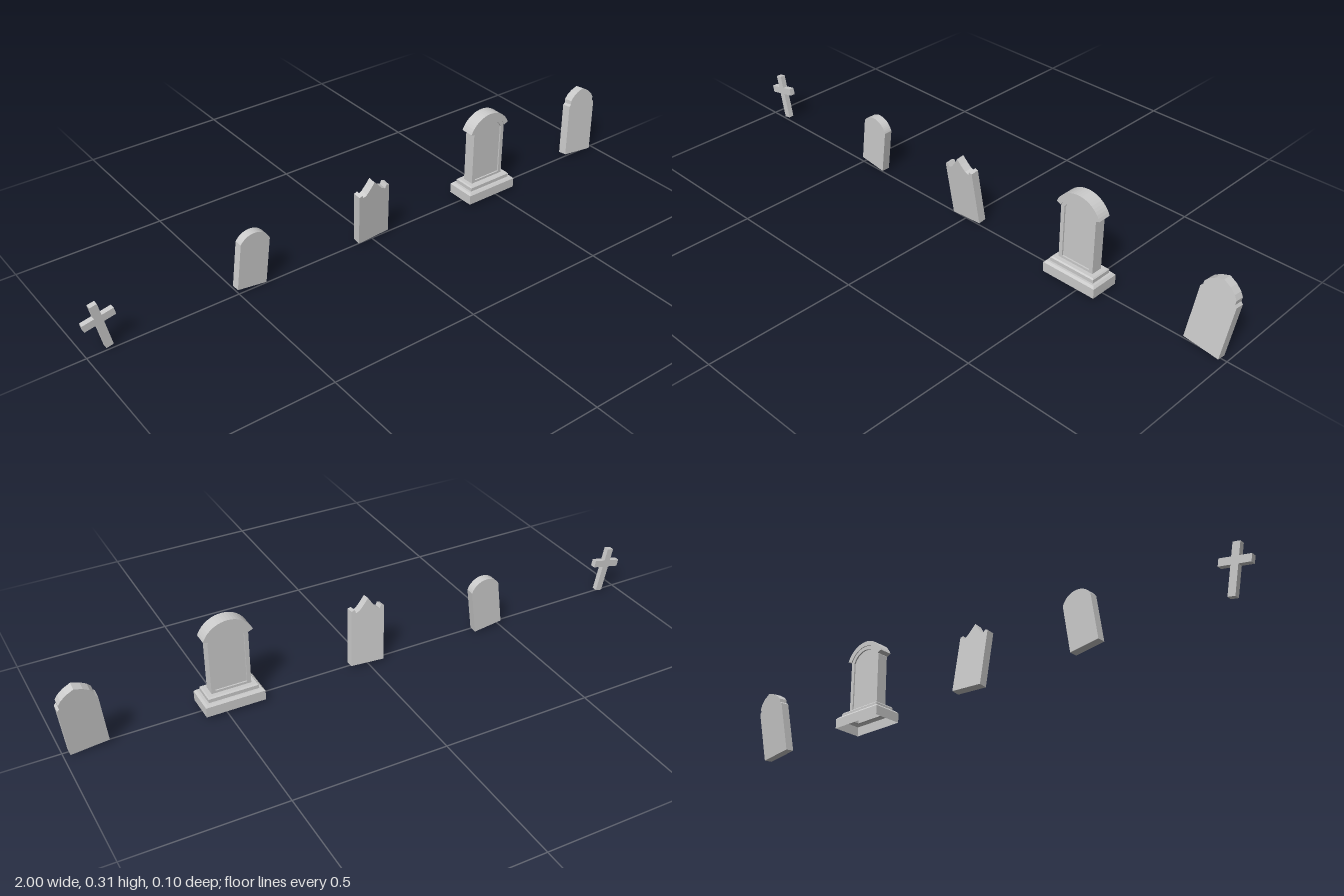
import * as THREE from 'three';

const material = new THREE.MeshStandardMaterial({ color: 0xcccccc, flatShading: true, side: THREE.DoubleSide });
const rad = THREE.MathUtils.degToRad;

function addMesh(parent, name, geometry) {
  const mesh = new THREE.Mesh(geometry, material);
  mesh.name = name;
  parent.add(mesh);
  return mesh;
}

// Outline extruded along z and centred on it
function slab(shape, depth) {
  const g = new THREE.ExtrudeGeometry(shape, { depth, bevelEnabled: false, curveSegments: 10 });
  return g.translate(0, 0, -depth / 2);
}

// Symmetric outline from its right half, listed from bottom to apex
function mirrored(half) {
  const left = half.filter(([x]) => x > 0).map(([x, y]) => [-x, y]).reverse();
  return new THREE.Shape([...half, ...left].map(([x, y]) => new THREE.Vector2(x, y)));
}

// Outline with straight sides and a segmental arch on top
function arched(halfWidth, bottom, shoulder, top) {
  const rise = top - shoulder;
  const r = (halfWidth ** 2 + rise ** 2) / (2 * rise);
  const a = Math.asin((shoulder - top + r) / r);
  const s = new THREE.Shape();
  s.moveTo(-halfWidth, bottom);
  s.lineTo(halfWidth, bottom);
  s.lineTo(halfWidth, shoulder);
  s.absarc(0, top - r, r, a, Math.PI - a, false);
  s.closePath();
  return s;
}

// Stacked rectangles [halfX, halfZ, y] joined into an open shell
function steppedShell(rings) {
  const pos = [], index = [];
  for (const [x, z, y] of rings) pos.push(-x, y, z, x, y, z, x, y, -z, -x, y, -z);
  for (let i = 0; i < rings.length - 1; i++) {
    for (let k = 0; k < 4; k++) {
      const a = i * 4 + k, b = i * 4 + (k + 1) % 4;
      index.push(a, b, b + 4, a, b + 4, a + 4);
    }
  }
  const g = new THREE.BufferGeometry();
  g.setAttribute('position', new THREE.Float32BufferAttribute(pos, 3));
  g.setIndex(index);
  const flat = g.toNonIndexed();
  flat.computeVertexNormals();
  return flat;
}

// Group standing at a point, leaning forward and tilted sideways
function stand(parent, name, x, y, z, lean, tilt) {
  const g = new THREE.Group();
  g.name = name;
  g.position.set(x, y, z);
  g.rotation.set(rad(lean), 0, rad(tilt));
  parent.add(g);
  return g;
}

export function createModel() {
  const model = new THREE.Group();
  model.name = 'gravestones';

  // Small tilted cross
  const cross = stand(model, 'cross', -0.926, 0.01, -0.009, 0, 11.5);
  addMesh(cross, 'crossShape', slab(mirrored([
    [0.012, 0], [0.012, 0.092], [0.051, 0.092], [0.051, 0.116],
    [0.012, 0.116], [0.012, 0.159]]), 0.018));

  // Round-topped stone
  const round = stand(model, 'roundStone', -0.453, 0.01, -0.014, 0, -7.5);
  addMesh(round, 'roundSlab', slab(arched(0.051, 0, 0.156, 0.188), 0.029));

  // Stone with a pointed top between raised corners
  const pointed = stand(model, 'pointedStone', 0.005, 0.008, -0.01, 6.7, 4);
  addMesh(pointed, 'pointedSlab', slab(mirrored([
    [0.058, 0], [0.058, 0.19], [0.047, 0.194], [0.042, 0.182],
    [0.029, 0.189], [0.013, 0.208], [0, 0.226]]), 0.028));

  // Monument: hollow stepped base, framed panel, arched cap
  const monument = stand(model, 'monument', 0.472, 0, 0, 0, 0);
  addMesh(monument, 'steppedBase', steppedShell([
    [0.0975, 0.051, 0.01], [0.0975, 0.051, 0.043], [0.091, 0.045, 0.05],
    [0.0825, 0.038, 0.05], [0.0825, 0.038, 0.062], [0.079, 0.034, 0.066],
    [0.064, 0.019, 0.066]]));
  const frame = arched(0.065, 0.066, 0.25, 0.296);
  frame.holes.push(arched(0.052, 0.074, 0.247, 0.282));
  addMesh(monument, 'panelFrame', slab(frame, 0.04));
  addMesh(monument, 'panel', slab(arched(0.06, 0.066, 0.25, 0.29), 0.03));
  const cap = new THREE.Shape();
  const end = rad(22);
  cap.absarc(0, 0.226, 0.086, end, Math.PI - end, false);
  cap.absarc(0, 0.226, 0.069, Math.PI - end, end, true);
  cap.closePath();
  addMesh(monument, 'archedCap', slab(cap, 0.046));

  // Gothic stone with notched shoulders
  const gothic = stand(model, 'gothicStone', 0.92, 0.009, -0.003, -6.8, -6.5);
  addMesh(gothic, 'gothicSlab', slab(mirrored([
    [0.06, 0], [0.06, 0.179], [0.053, 0.186], [0.053, 0.199],
    [0.043, 0.213], [0.025, 0.227], [0, 0.238]]), 0.031));

  return model;
}
